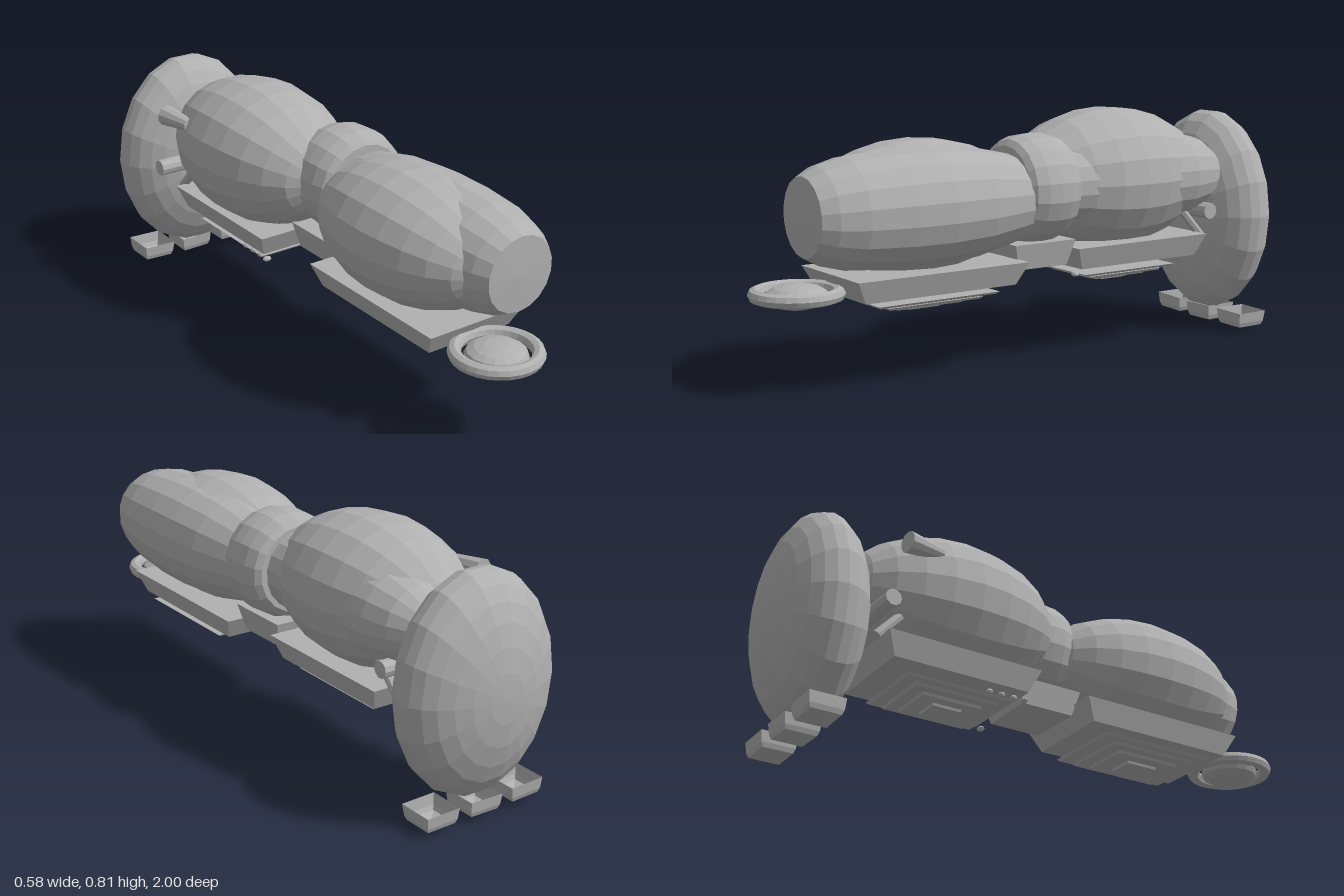
import * as THREE from 'three';

const grey = new THREE.MeshStandardMaterial({ color: 0xb0b0b0 });
grey.name = 'hull grey';
grey.flatShading = true;
grey.side = THREE.DoubleSide;

export function createModel() {
  const group = new THREE.Group();

  const add = (name, geometry, x, y, z) => {
    const mesh = new THREE.Mesh(geometry, grey);
    mesh.name = name;
    mesh.position.set(x, y, z);
    group.add(mesh);
    return mesh;
  };

  // Ellipsoid with its poles on the z axis
  const pod = (name, x, y, z, rx, ry, rz, sides = 18, rings = 12) =>
    add(name, new THREE.SphereGeometry(1, sides, rings).rotateX(Math.PI / 2).scale(rx, ry, rz), x, y, z);

  // Turned body along z; profile is [radius, z] pairs
  const turned = (name, profile, x, y, sides = 18) => {
    const points = profile.map(([r, z]) => new THREE.Vector2(r, z));
    return add(name, new THREE.LatheGeometry(points, sides).rotateX(Math.PI / 2), x, y, 0);
  };

  // Box tapering towards its bottom face
  const tray = (name, x, yBottom, yTop, z, width, depth, taperX, taperZ) => {
    const geometry = new THREE.BoxGeometry(width, yTop - yBottom, depth);
    const p = geometry.attributes.position;
    for (let i = 0; i < p.count; i++) {
      if (p.getY(i) < 0) {
        p.setX(i, p.getX(i) * taperX);
        p.setZ(i, p.getZ(i) * taperZ);
      }
    }
    return add(name, geometry, x, (yBottom + yTop) / 2, z);
  };

  // Main hulls and the large rear disc
  pod('rearDisc', -0.013, 0.422, -0.845, 0.28, 0.363, 0.157, 18, 14);
  pod('rearHull', -0.008, 0.575, -0.36, 0.258, 0.243, 0.385);
  pod('frontHull', 0.03, 0.545, 0.43, 0.238, 0.215, 0.385);

  // Barrels running inside the hulls
  turned('frontBarrel', [[0, 0.05], [0.13, 0.06], [0.15, 0.14], [0.178, 0.27], [0.19, 0.42],
    [0.189, 0.56], [0.176, 0.72], [0.152, 0.81], [0.125, 0.86], [0, 0.865]], 0.1, 0.55);
  turned('rearBarrel', [[0, -0.755], [0.085, -0.75], [0.125, -0.69], [0.148, -0.6], [0.155, -0.36],
    [0.135, -0.1], [0.135, 0], [0, 0]], 0.075, 0.575);

  // Rounded collar joining the hulls
  turned('collar', [[0, -0.085], [0.145, -0.085], [0.165, -0.07], [0.178, -0.03], [0.181, 0.015],
    [0.178, 0.06], [0.165, 0.1], [0.145, 0.115], [0, 0.115]], 0.085, 0.575);

  // Keel trays under the hulls
  tray('frontKeel', 0.045, 0.285, 0.358, 0.432, 0.37, 0.625, 0.86, 0.88);
  tray('middleKeel', 0.06, 0.32, 0.405, 0.02, 0.24, 0.24, 0.85, 0.8);
  tray('rearKeel', 0.01, 0.3, 0.375, -0.373, 0.39, 0.555, 0.86, 0.88);

  // Stacked thin plates below the keels
  const stack = (name, x, z, width, depth) => {
    const layers = [[0.266, 1, 1], [0.252, 0.84, 0.78], [0.241, 0.6, 0.56], [0.23, 0.34, 0.27]];
    layers.forEach(([y, sx, sz], i) =>
      tray(`${name}${i + 1}`, x, y - 0.004, y + 0.004, z, width * sx, depth * sz, 0.94, 0.96));
  };
  stack('frontBellyPlate', 0.055, 0.44, 0.3, 0.44);
  stack('rearBellyPlate', 0.0, -0.365, 0.28, 0.39);

  // Small beads beside the rear plates
  for (const z of [-0.135, -0.175, -0.22, -0.265]) {
    for (const x of [-0.14, 0.13]) {
      if (z < -0.14 && x > 0) continue;
      pod('bead', x, 0.276, z, z > -0.14 ? 0.016 : 0.01, 0.009, 0.012, 8, 6);
    }
  }

  // Ring and shallow lens at the bow
  add('bowRing', new THREE.TorusGeometry(0.128, 0.022, 8, 28).rotateX(Math.PI / 2), 0.03, 0.306, 0.849);
  add('bowLens', new THREE.SphereGeometry(0.1, 16, 8).scale(1, 0.4, 1), 0.03, 0.298, 0.849);

  // Rods on the rear hull
  add('crossRod', new THREE.CylinderGeometry(0.028, 0.028, 0.44, 10).rotateZ(Math.PI / 2), -0.02, 0.452, -0.67);
  for (const side of [-1, 1]) {
    const strut = add('strut', new THREE.CylinderGeometry(0.016, 0.016, 0.13, 8), side * 0.14, 0.41, -0.63);
    strut.rotation.x = 0.75;
  }
  const vent = add('sideVent', new THREE.CylinderGeometry(0.036, 0.022, 0.13, 10), -0.222, 0.665, -0.56);
  vent.rotation.set(-Math.PI / 2, 0, 0.12);

  // Three open cups under the disc
  const cupProfile = [[0, 0.003], [0.072, 0.02], [0.08, 0.035], [0.086, 0.072]].map(([r, y]) => new THREE.Vector2(r, y));
  [[-0.178, 0.005, -0.04], [-0.013, 0, 0.02], [0.152, 0, -0.02]].forEach(([x, y, tilt]) => {
    const cup = add('footCup', new THREE.LatheGeometry(cupProfile, 4).rotateY(Math.PI / 4), x, y, -0.867);
    cup.rotation.z = tilt;
  });

  return group;
}
